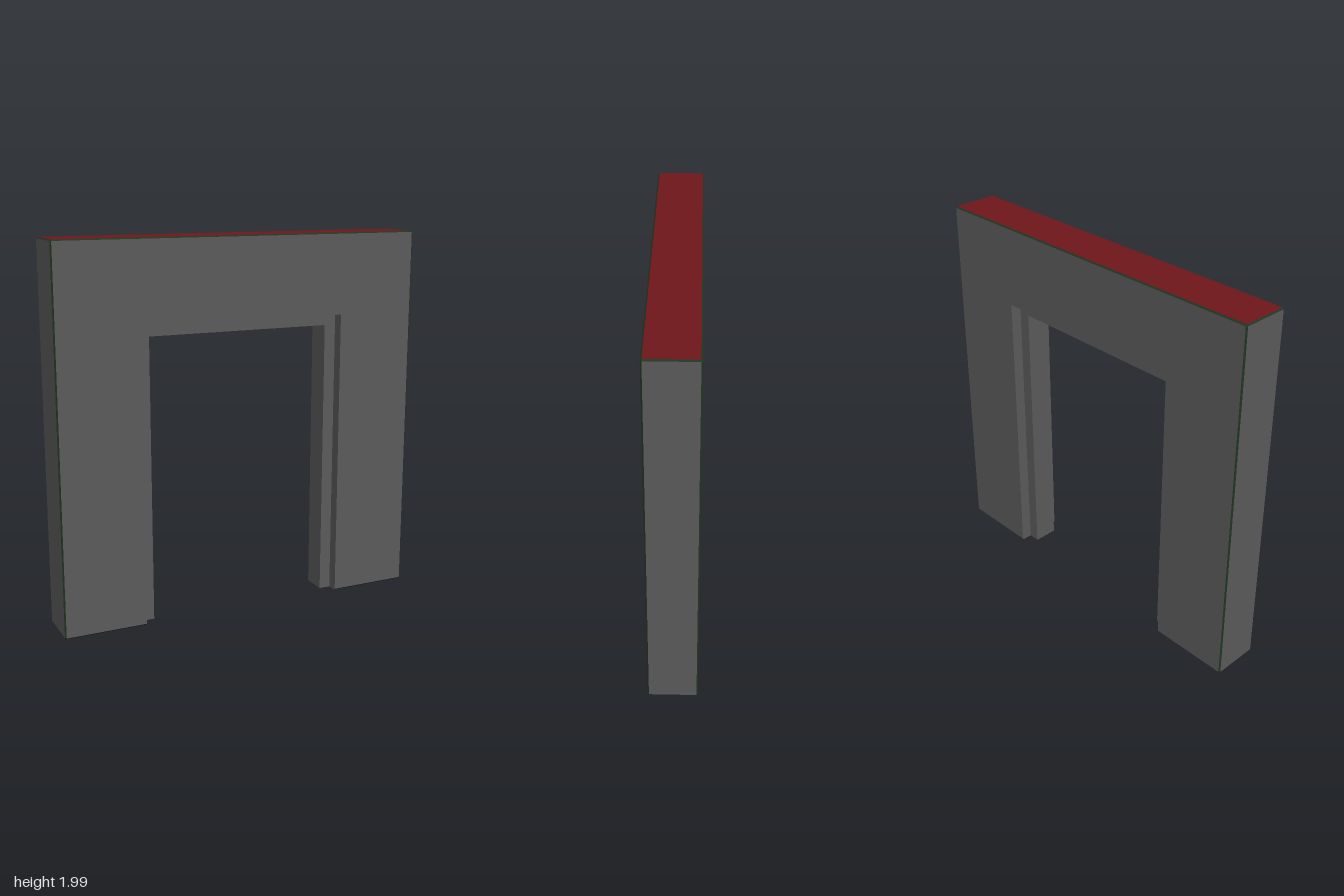
import * as THREE from 'three';

const W = 1, H = 1.99, D = 0.255, B = 0.007;   // wall half width, height, depth, edge bevel
const OX = 0.563, OY = 1.56;                   // opening cut in the wall
const IX = 0.5, IY = 1.5, FD = 0.134;          // clear opening and depth of the door frame

const shapeOf = pts => new THREE.Shape(pts.map(p => new THREE.Vector2(...p)));

// Arch-shaped wall: every outer edge is bevelled, the edges of the opening stay sharp
function wallGeometry() {
  const shape = shapeOf([
    [OX, 0], [W - B, 0], [W, B], [W, H - B], [W - B, H],
    [B - W, H], [-W, H - B], [-W, B], [B - W, 0], [-OX, 0], [-OX, OY], [OX, OY],
  ]);
  const geo = new THREE.ExtrudeGeometry(shape, {
    depth: D - 2 * B, bevelEnabled: true, bevelSegments: 1,
    bevelThickness: B, bevelSize: B, bevelOffset: -B,
  });
  geo.translate(0, 0, -(D - 2 * B) / 2);
  const p = geo.attributes.position;
  const xs = [], ys = [];
  for (let i = 0; i < p.count; i++) { xs.push(p.getX(i)); ys.push(p.getY(i)); }
  let minX = Infinity, maxX = -Infinity, minY = Infinity, maxY = -Infinity;
  for (let i = 0; i < p.count; i++) {
    minX = Math.min(minX, xs[i]); maxX = Math.max(maxX, xs[i]);
    minY = Math.min(minY, ys[i]); maxY = Math.max(maxY, ys[i]);
  }
  // stretch to the exact outer size, then square up the opening
  for (let i = 0; i < p.count; i++) {
    let x = ((xs[i] - minX) / (maxX - minX)) * 2 * W - W;
    let y = ((ys[i] - minY) / (maxY - minY)) * H;
    if (Math.abs(Math.abs(x) - OX) < 3 * B) x = Math.sign(x) * OX;
    if (Math.abs(y - OY) < 3 * B) y = OY;
    p.setXY(i, x, y);
  }
  return geo.index ? geo.toNonIndexed() : geo;
}

// Sort the triangles by the direction they face
function splitByNormal(geo, classify) {
  const p = geo.attributes.position, parts = {};
  const tri = new THREE.Triangle(), n = new THREE.Vector3();
  for (let i = 0; i < p.count; i += 3) {
    tri.setFromAttributeAndIndices(p, i, i + 1, i + 2);
    if (tri.getArea() < 1e-9) continue;
    tri.getNormal(n);
    const list = (parts[classify(n)] ??= []);
    for (const v of [tri.a, tri.b, tri.c]) list.push(v.x, v.y, v.z);
  }
  return parts;
}

export function createModel() {
  const group = new THREE.Group();
  group.name = 'doorwayWall';
  const colors = { wallFaces: 0x5a5a5a, wallTop: 0x6e161a, edgeTrim: 0x1f3522 };

  // Wall: grey faces, red top, dark bevelled edges
  const parts = splitByNormal(wallGeometry(), n => {
    if (n.y > 0.95) return 'wallTop';
    return Math.max(Math.abs(n.x), Math.abs(n.y), Math.abs(n.z)) > 0.95 ? 'wallFaces' : 'edgeTrim';
  });
  for (const [name, list] of Object.entries(parts)) {
    const geo = new THREE.BufferGeometry();
    geo.setAttribute('position', new THREE.Float32BufferAttribute(list, 3));
    geo.computeVertexNormals();
    const mesh = new THREE.Mesh(geo, new THREE.MeshStandardMaterial({ color: colors[name] }));
    mesh.name = name;
    group.add(mesh);
  }

  // Door frame set halfway into the depth of the opening
  const frameGeo = new THREE.ExtrudeGeometry(shapeOf([
    [IX, 0], [OX, 0], [OX, OY], [-OX, OY], [-OX, 0], [-IX, 0], [-IX, IY], [IX, IY],
  ]), { depth: FD, bevelEnabled: false });
  frameGeo.translate(0, 0, -FD / 2);
  const frame = new THREE.Mesh(frameGeo, new THREE.MeshStandardMaterial({ color: colors.wallFaces }));
  frame.name = 'doorFrame';
  group.add(frame);

  return group;
}
